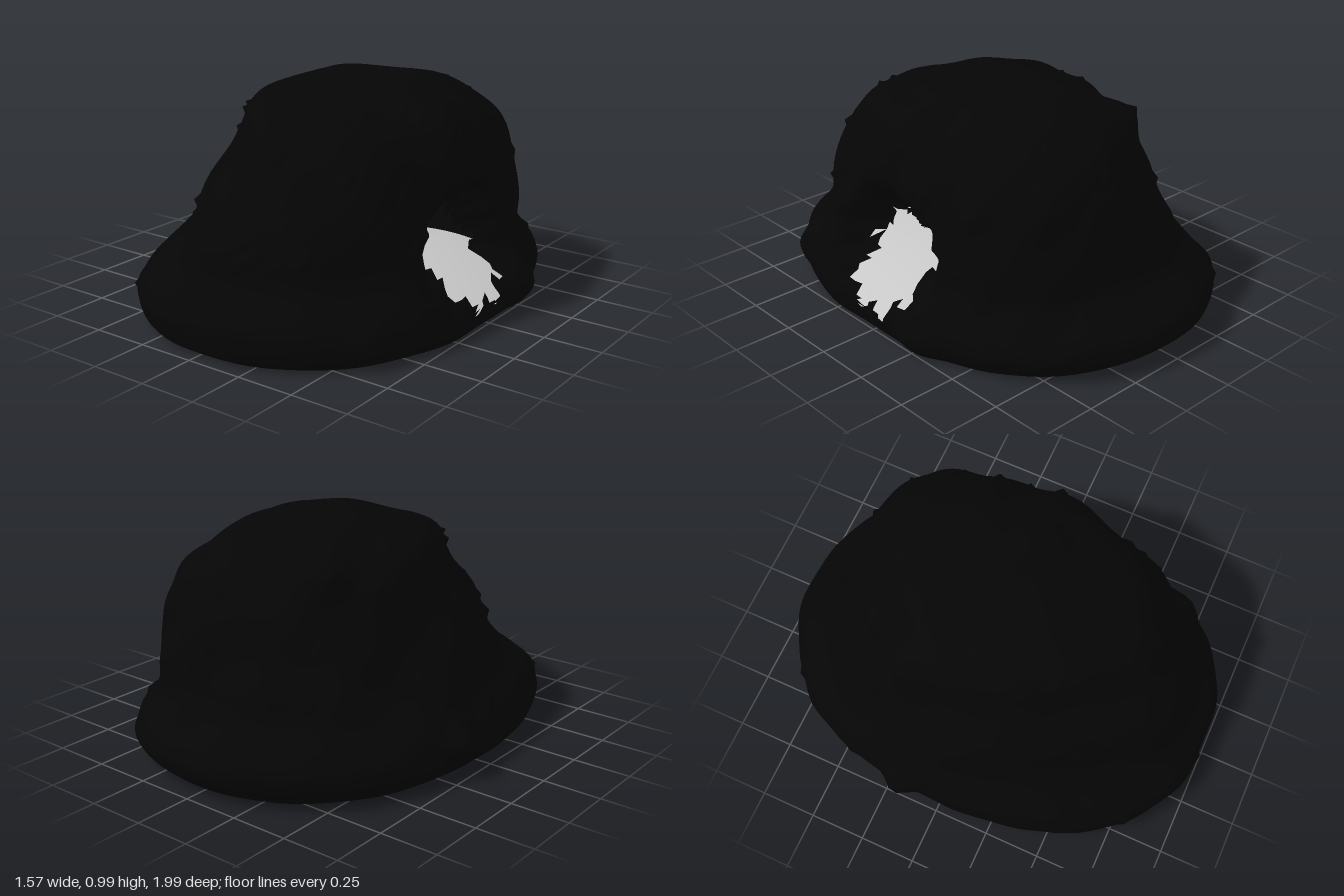
import * as THREE from 'three';

// Mound outline by height: y, -x, +x, -z, +z
const LEVELS = [
  [0.03, -0.62, 0.67, -0.81, 0.83],
  [0.00, -0.66, 0.73, -0.87, 0.89],
  [0.02, -0.70, 0.76, -0.92, 0.96],
  [0.09, -0.73, 0.78, -0.985, 0.99],
  [0.17, -0.72, 0.75, -0.98, 0.985],
  [0.28, -0.65, 0.69, -0.83, 0.88],
  [0.40, -0.58, 0.67, -0.80, 0.85],
  [0.52, -0.52, 0.65, -0.77, 0.80],
  [0.65, -0.46, 0.63, -0.74, 0.71],
  [0.76, -0.43, 0.59, -0.68, 0.63],
  [0.84, -0.38, 0.53, -0.59, 0.54],
  [0.90, -0.29, 0.43, -0.48, 0.38],
  [0.96, -0.16, 0.30, -0.27, 0.20],
  [1.00, 0.08, 0.08, 0, 0],
];
const AROUND = 150, STEPS = 4;
const ROWS = (LEVELS.length - 1) * STEPS;
const { smoothstep, clamp, lerp } = THREE.MathUtils;

const hash = (a, b) => {
  const s = Math.sin(a * 127.1 + b * 311.7) * 43758.5453;
  return s - Math.floor(s);
};

// Soft lumps over the whole surface
const lumps = (x, y, z) =>
  0.012 * Math.sin(7 * x + 5 * y + 2) * Math.sin(6 * z - 4 * y + 1) +
  0.008 * Math.sin(15 * x - 9 * z + 8 * y) +
  0.006 * Math.sin(21 * z + 17 * y + 11 * x) - 0.008;

// Local peaks: x, y, z, reach, height
const PEAKS = [
  [-0.73, 0.17, -0.18, 0.10, 0.09],
  [0.74, 0.09, -0.28, 0.14, 0.05],
  [-0.30, 0.88, -0.48, 0.16, 0.07],
  [0.60, 0.12, 0.66, 0.12, 0.05],
  [-0.58, 0.12, -0.72, 0.14, 0.03],
];
const peaks = (x, y, z) => PEAKS.reduce((sum, [px, py, pz, reach, h]) =>
  sum + h * Math.max(0, 1 - Math.hypot(x - px, y - py, z - pz) / reach), 0);

// Distance from the middle of the cave mouth, 1 at its rim
const mouthDistance = (y, z) => Math.hypot((z - 0.02) / 0.21, (y - 0.27) / 0.21);

// Smooth curve through the outline levels
function levelAt(row) {
  const last = LEVELS.length - 1;
  const i = Math.min(Math.floor(row / STEPS), last - 1);
  const t = row / STEPS - i;
  const before = LEVELS[Math.max(i - 1, 0)], after = LEVELS[Math.min(i + 2, last)];
  return LEVELS[i].map((v, k) => {
    const w = LEVELS[i + 1][k];
    const m0 = (w - before[k]) / 2, m1 = (after[k] - v) / 2;
    return v + t * (m0 + t * (3 * (w - v) - 2 * m0 - m1 + t * (2 * (v - w) + m0 + m1)));
  });
}

// Squareness of the plan: full at the back left, slim at the front right
function squareness(c, s, y) {
  const corner = Math.max(0, -2 * c * s) * (c > 0 ? 0.7 : -0.45);
  const body = smoothstep(y, 0.15, 0.42) * (1 - smoothstep(y, 0.75, 1));
  return lerp(2.25, 2.1 + corner, body);
}

function moundPoint(row, col) {
  const [level, x0, x1, z0, z1] = levelAt(row);
  let y = Math.max(0, level);
  const a = col / AROUND * Math.PI * 2;
  const c = Math.cos(a), s = Math.sin(a);
  const n = squareness(c, s, y);
  const k = (Math.abs(c) ** n + Math.abs(s) ** n) ** (-1 / n);
  let x = (x0 + x1) / 2 + k * c * (x1 - x0) / 2;
  let z = (z0 + z1) / 2 + k * s * (z1 - z0) / 2;

  const fade = clamp((row - 10) / 8, 0, 1);
  let d = lumps(x, y, z) * (0.25 + 0.75 * fade) + peaks(x, y, z);
  // Small ragged tufts
  if (row < ROWS - 6 && hash(row, col) > 0.985) d += 0.02 * fade;
  const out = d * clamp((1 - y) / 0.12, 0, 1);
  y += d * 0.6 * smoothstep(y, 0.55, 0.95);
  x += c * out;
  z += s * out;

  // Cave mouth drawn inwards, with radiating folds
  if (x > 0.3) {
    const m = mouthDistance(y, z);
    const pull = 1 - smoothstep(m, 0.8, 1.7);
    const ray = Math.atan2(y - 0.27, z - 0.02);
    x -= pull * (0.03 + 0.13 * smoothstep(y, 0.08, 0.35));
    const folds = Math.max(0, 1 - Math.abs(m - 1.15) / 0.55) * fade;
    x += folds * (0.03 * Math.sin(ray * 15) + 0.03 * (hash(row + 9, col) - 0.5));
  }
  return [x, y, z];
}

// Hollow outer shell with a ragged opening on its +x side
function shellGeometry() {
  const pos = [], index = [];
  for (let r = 0; r <= ROWS; r++)
    for (let c = 0; c < AROUND; c++) pos.push(...moundPoint(r, c));
  const id = (r, c) => r * AROUND + (c % AROUND);
  const mean = (ids, axis) => ids.reduce((sum, i) => sum + pos[i * 3 + axis] / 3, 0);
  const addFace = (...ids) => {
    const y = mean(ids, 1), z = mean(ids, 2);
    const rim = 0.82 + 0.12 * Math.sin(Math.atan2(y - 0.27, z - 0.02) * 9) + 0.1 * hash(ids[0], ids[1]);
    if (mean(ids, 0) < 0.3 || mouthDistance(y, z) > rim) index.push(...ids);
  };
  for (let r = 0; r < ROWS; r++)
    for (let c = 0; c < AROUND; c++) {
      const a = id(r, c), b = id(r, c + 1), d = id(r + 1, c), e = id(r + 1, c + 1);
      addFace(a, d, b);
      addFace(b, d, e);
    }
  const g = new THREE.BufferGeometry();
  g.setAttribute('position', new THREE.Float32BufferAttribute(pos, 3));
  g.setIndex(index);
  g.computeVertexNormals();
  return g;
}

// Oval disc, raised in the middle by the given height
function discGeometry(base, rise) {
  const g = new THREE.RingGeometry(0, 1, 72, 8);
  g.rotateX(-Math.PI / 2);
  const p = g.attributes.position;
  for (let i = 0; i < p.count; i++) {
    const x = p.getX(i), z = p.getZ(i);
    p.setXYZ(i, 0.02 + x * 0.68, base + rise * (1 - x * x - z * z), 0.01 + z * 0.85);
  }
  g.computeVertexNormals();
  return g;
}

export function createModel() {
  const group = new THREE.Group();
  group.name = 'caveMound';
  const add = (name, geometry, color) => {
    const mesh = new THREE.Mesh(geometry,
      new THREE.MeshStandardMaterial({ color, side: THREE.DoubleSide }));
    mesh.name = name;
    group.add(mesh);
  };
  add('moundShell', shellGeometry(), 0x050505);
  add('caveFloor', discGeometry(0.03, 0.1), 0xcccccc);
  add('groundDisc', discGeometry(0.015, 0), 0xcccccc);
  return group;
}
